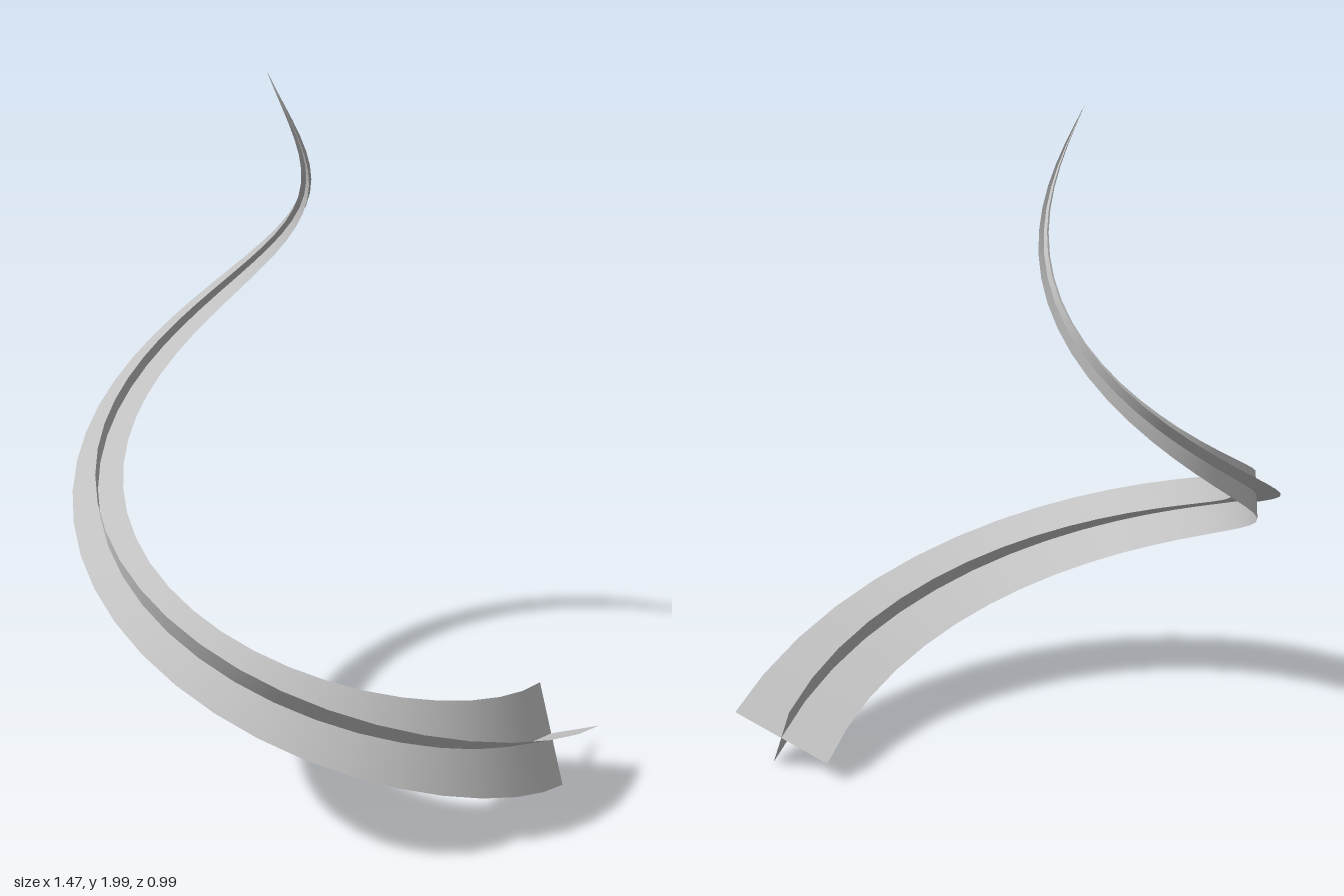
import * as THREE from 'three';

const SEGMENTS = 40;
const AXIS = { x: -0.24, z: -0.228 };
const RADIUS = 0.837, BASE_Y = 0.135, RISE = 1.865, HALF_WIDTH = 0.15;

// One full turn of a conical spiral that closes onto its axis at the tip.
function spinePoint(t) {
  const r = RADIUS * (1 - t), a = 2 * Math.PI * t;
  return new THREE.Vector3(AXIS.x + r * Math.cos(a), BASE_Y + RISE * t, AXIS.z + r * Math.sin(a));
}

// Rings along the spine: a twist-free frame and a width tapering with arc length.
function buildRings() {
  const points = [];
  for (let i = 0; i <= SEGMENTS; i++) points.push(spinePoint(i / SEGMENTS));
  const lengths = [0];
  for (let i = 1; i <= SEGMENTS; i++) lengths.push(lengths[i - 1] + points[i].distanceTo(points[i - 1]));

  const side = new THREE.Vector3(0.138, 0.058, 0.01);
  return points.map((point, i) => {
    const next = points[Math.min(i + 1, SEGMENTS)], prev = points[Math.max(i - 1, 0)];
    const tangent = next.clone().sub(prev).normalize();
    side.addScaledVector(tangent, -side.dot(tangent)).normalize();
    return {
      point,
      side: side.clone(),
      up: new THREE.Vector3().crossVectors(tangent, side),
      half: HALF_WIDTH * (1 - lengths[i] / lengths[SEGMENTS]),
    };
  });
}

// Flat ribbon swept along the spine, spread along one axis of the frame.
function ribbon(name, rings, axis) {
  const positions = [], index = [];
  rings.forEach((ring, i) => {
    for (const s of [-1, 1]) {
      positions.push(...ring.point.clone().addScaledVector(ring[axis], s * ring.half).toArray());
    }
    if (i < SEGMENTS) {
      const a = i * 2;
      index.push(a, a + 1, a + 2);
      if (i < SEGMENTS - 1) index.push(a + 1, a + 3, a + 2);
    }
  });
  const geometry = new THREE.BufferGeometry();
  geometry.setAttribute('position', new THREE.Float32BufferAttribute(positions, 3));
  geometry.setIndex(index);
  geometry.computeVertexNormals();
  const mesh = new THREE.Mesh(
    geometry,
    new THREE.MeshStandardMaterial({ color: 0xcccccc, side: THREE.DoubleSide })
  );
  mesh.name = name;
  return mesh;
}

export function createModel() {
  const group = new THREE.Group();
  group.name = 'spiralTendril';
  const rings = buildRings();
  // Two ribbons crossing at right angles along the same spine.
  group.add(ribbon('wideRibbon', rings, 'side'), ribbon('crossRibbon', rings, 'up'));
  return group;
}
